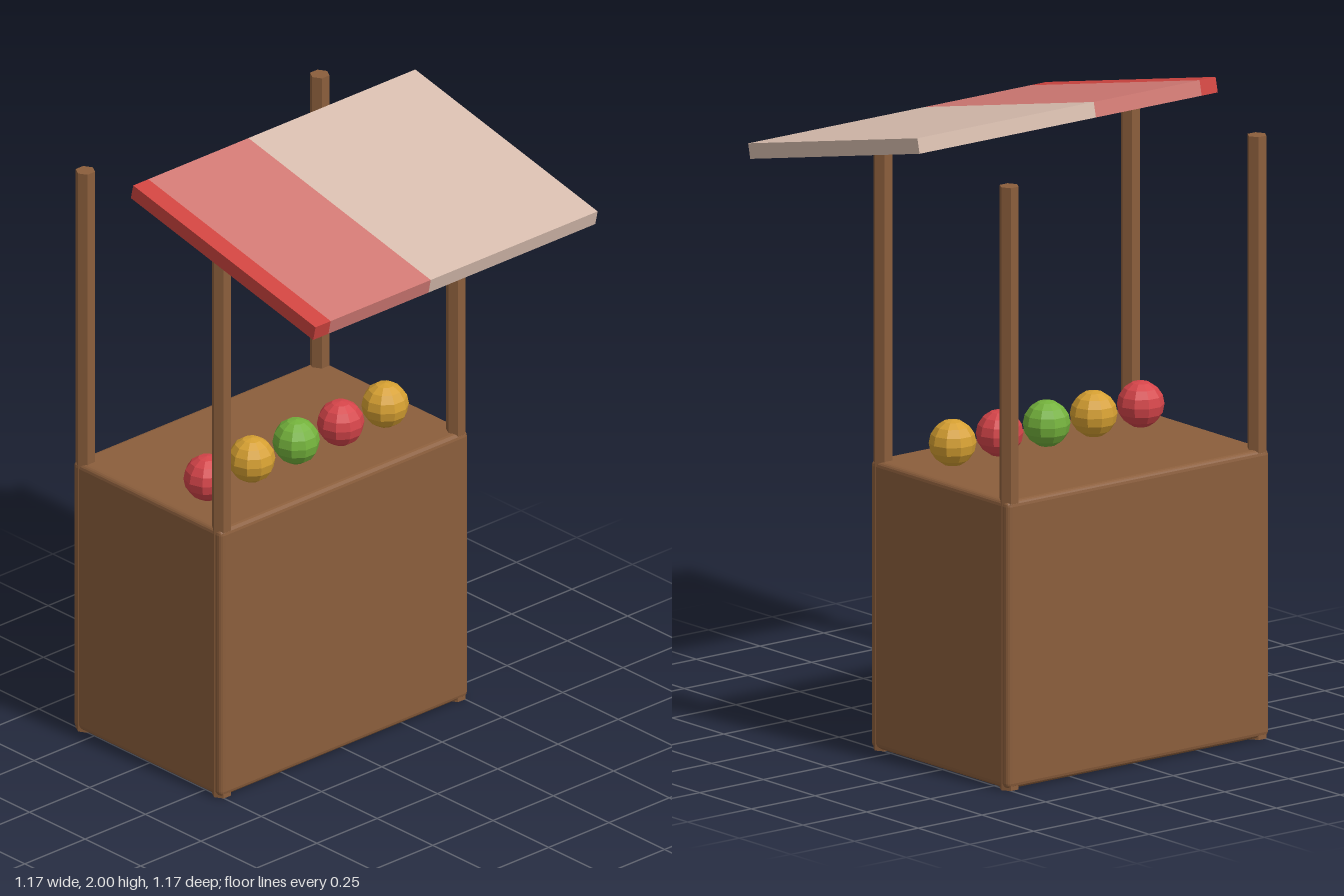
import * as THREE from 'three';
import { RoundedBoxGeometry } from 'three/addons/geometries/RoundedBoxGeometry.js';

const paint = (name, color, flatShading = true) => {
  const m = new THREE.MeshStandardMaterial({ color, flatShading });
  m.name = name;
  return m;
};

export function createModel() {
  const wood = paint('wood', 0x8b5e3c);
  const red = paint('red', 0xd04540);
  const paleRed = paint('paleRed', 0xd27a74);
  const cream = paint('cream', 0xd8bdae);
  const appleRed = paint('appleRed', 0xd6454a);
  const orange = paint('orange', 0xd6a032);
  const green = paint('green', 0x74b23c);

  const model = new THREE.Group();
  model.name = 'marketStall';
  const add = (name, geometry, material, x, y, z, parent = model) => {
    const mesh = new THREE.Mesh(geometry, material);
    mesh.name = name;
    mesh.position.set(x, y, z);
    parent.add(mesh);
    return mesh;
  };

  // Counter with softened edges
  add('counter', new RoundedBoxGeometry(1.03, 0.908, 0.67, 2, 0.018), wood, 0, 0.458, -0.25);

  // Four hexagonal posts, running down through the counter corners
  const postShape = new THREE.CylinderGeometry(0.031, 0.031, 1.9, 6).rotateY(Math.PI / 6);
  for (const side of [-1, 1]) {
    const label = side > 0 ? 'Left' : 'Right';
    add('frontPost' + label, postShape, wood, side * 0.486, 0.95, 0.056);
    add('backPost' + label, postShape, wood, side * 0.486, 0.95, -0.556);
  }

  // Sloping awning made of three coloured bands
  const awning = new THREE.Group();
  awning.name = 'awning';
  awning.position.set(0, 1.885, 0.171);
  awning.rotation.x = 0.22;
  model.add(awning);
  const bands = [
    ['edgeBand', -0.585, -0.522, red],
    ['middleBand', -0.522, -0.107, paleRed],
    ['wideBand', -0.107, 0.585, cream],
  ];
  for (const [name, x0, x1, material] of bands) {
    add(name, new THREE.BoxGeometry(x1 - x0, 0.048, 0.84), material, (x0 + x1) / 2, 0, 0, awning);
  }

  // Row of fruit on the counter
  const fruitShape = new THREE.SphereGeometry(0.073, 10, 8);
  [appleRed, orange, green, appleRed, orange].forEach((material, i) => {
    add('fruit' + (i + 1), fruitShape, material, -0.383 + i * 0.1845, 0.98, -0.12);
  });

  return model;
}
